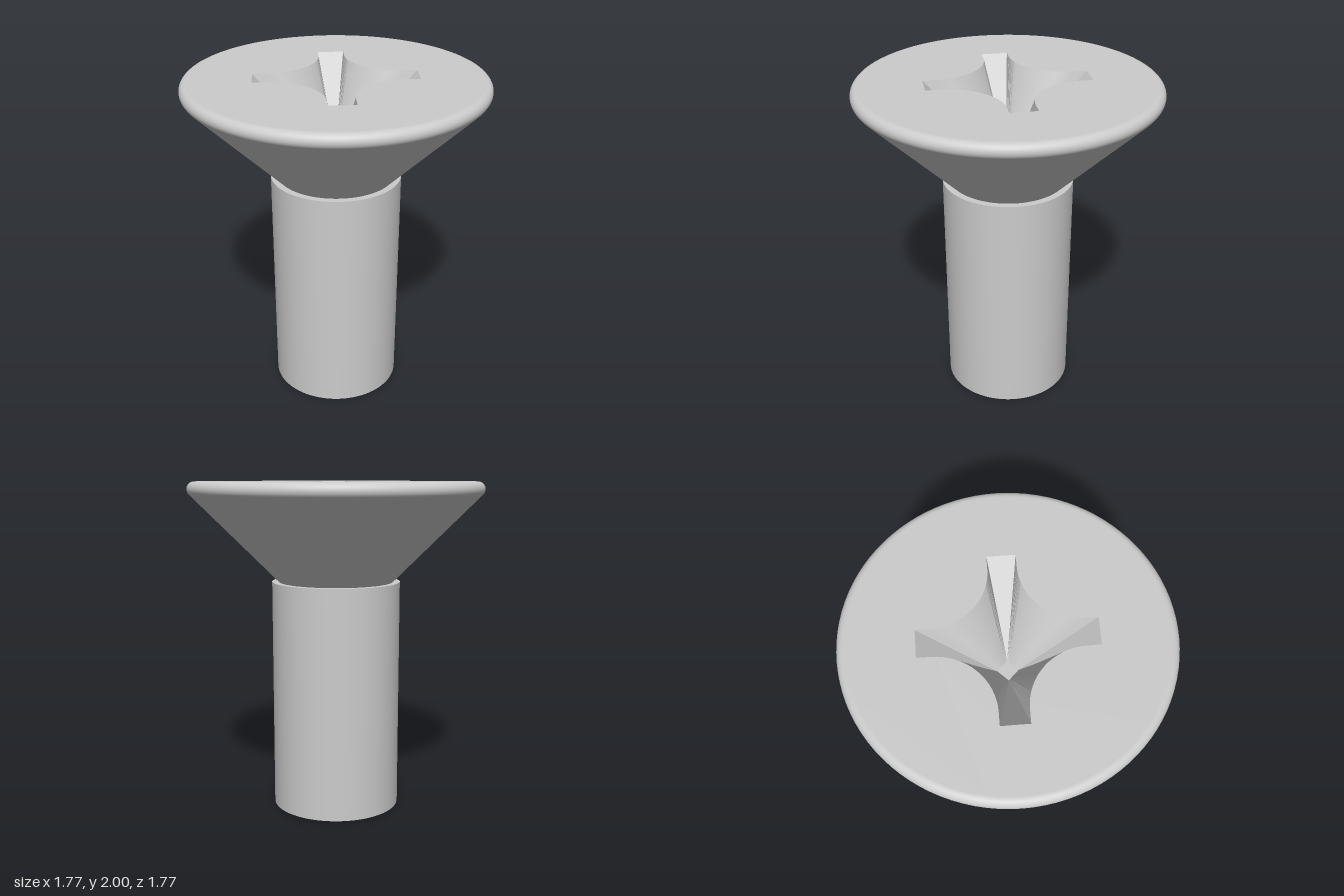
import * as THREE from 'three';
import { toCreasedNormals } from 'three/addons/utils/BufferGeometryUtils.js';

const TOP = 2, NECK = 1.4, FLOOR = 1.55;
const FLAT_R = 0.84, RIM = 0.045;

// Cross-shaped outline (top) and matching diamond (floor), counter-clockwise seen from above
function recessOutlines() {
  const tip = 0.475, half = 0.078, c = 0.4, r = c - half, q = 0.06, steps = 16;
  const top = [], floor = [];
  for (let k = 0; k < 4; k++) {
    const quadrant = [[tip, half, 0]];
    for (let i = 0; i <= steps; i++) {
      const a = -Math.PI / 2 * (1 + i / steps);
      quadrant.push([c + r * Math.cos(a), c + r * Math.sin(a), i / steps]);
    }
    quadrant.push([half, tip, 1]);
    const turn = k * Math.PI / 2, o = new THREE.Vector2();
    for (const [x, y, t] of quadrant) {
      top.push(new THREE.Vector2(x, y).rotateAround(o, turn));
      floor.push(new THREE.Vector2(q * (1 - t), q * t).rotateAround(o, turn));
    }
  }
  return { top, floor };
}

// Tapering walls between the two outlines, facing inward
function recessWalls(top, floor) {
  const pos = [];
  const put = (p, y) => pos.push(p.x, y, -p.y);
  top.forEach((p, i) => {
    const j = (i + 1) % top.length;
    put(p, TOP); put(top[j], TOP); put(floor[i], FLOOR);
    if (floor[i].distanceTo(floor[j]) > 1e-6) {
      put(top[j], TOP); put(floor[j], FLOOR); put(floor[i], FLOOR);
    }
  });
  const g = new THREE.BufferGeometry();
  g.setAttribute('position', new THREE.Float32BufferAttribute(pos, 3));
  return toCreasedNormals(g, 0.5);
}

export function createModel() {
  const group = new THREE.Group();
  const material = new THREE.MeshStandardMaterial({ color: 0xcccccc });
  const add = (name, geometry) => {
    const mesh = new THREE.Mesh(geometry, material);
    mesh.name = name;
    group.add(mesh);
    return mesh;
  };

  // Plain cylindrical shank
  add('shank', new THREE.CylinderGeometry(0.39, 0.39, NECK, 96).translate(0, NECK / 2, 0));

  // Countersunk cone with a rounded rim
  const profile = [new THREE.Vector2(0.349, NECK)];
  for (let i = 0; i <= 12; i++) {
    const a = -Math.PI / 4 + i / 12 * Math.PI * 0.75;
    profile.push(new THREE.Vector2(FLAT_R + RIM * Math.cos(a), TOP - RIM + RIM * Math.sin(a)));
  }
  add('headCone', new THREE.LatheGeometry(profile, 96));

  // Flat top pierced by the driver recess
  const { top, floor } = recessOutlines();
  const disc = new THREE.Shape().absarc(0, 0, FLAT_R, 0, Math.PI * 2, false);
  disc.holes.push(new THREE.Path(top));
  add('headTop', new THREE.ShapeGeometry(disc, 48).rotateX(-Math.PI / 2).translate(0, TOP, 0));

  // Cross recess: tapering walls and small diamond floor
  add('recessWalls', recessWalls(top, floor));
  add('recessFloor', new THREE.CircleGeometry(0.06, 4).rotateX(-Math.PI / 2).translate(0, FLOOR, 0));

  return group;
}
